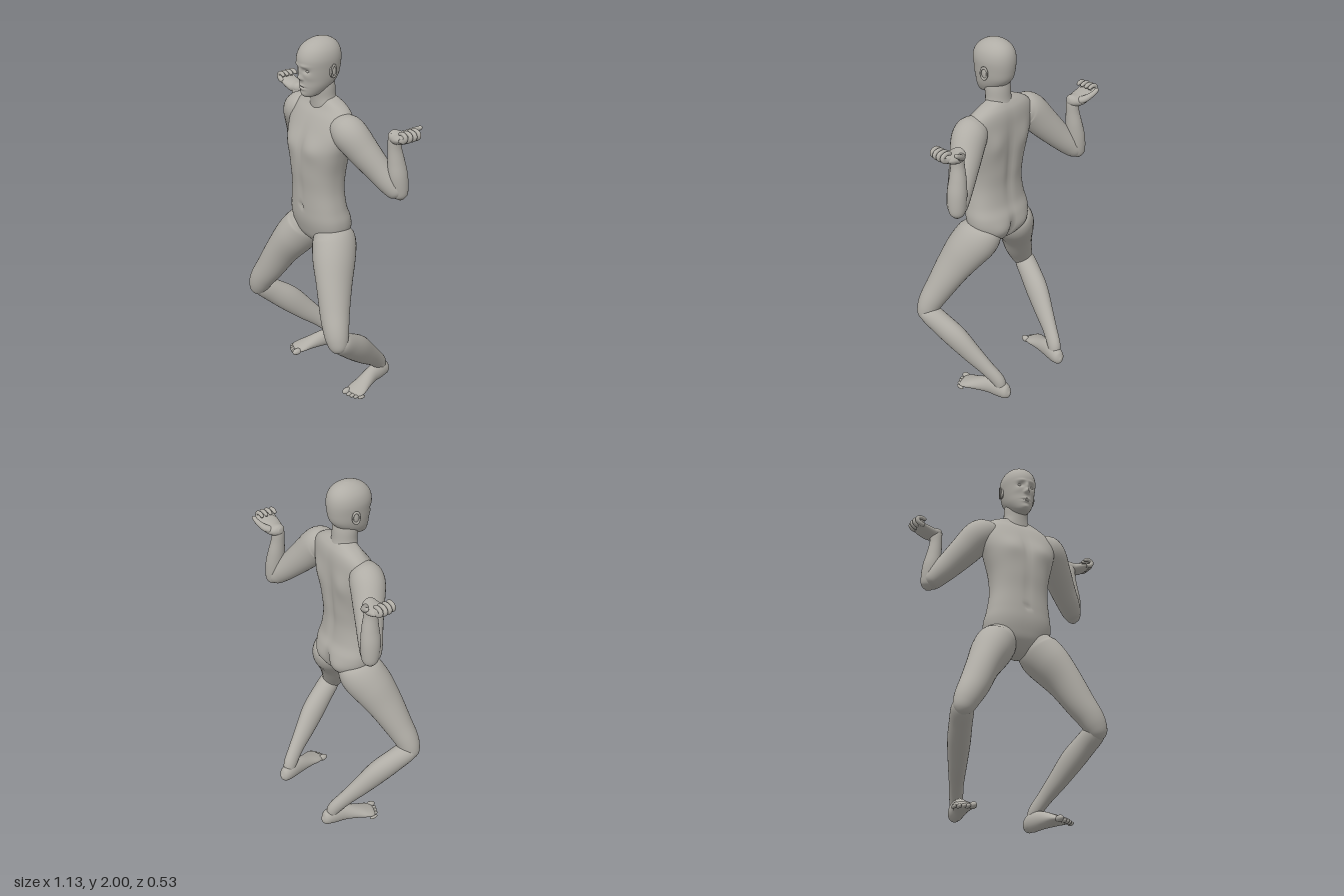
import * as THREE from 'three';

const skin = new THREE.MeshStandardMaterial({ color: 0xb0ada6 });
skin.name = 'warm grey skin';
const X = new THREE.Vector3(1, 0, 0), Y = new THREE.Vector3(0, 1, 0), Z = new THREE.Vector3(0, 0, 1);

// Catmull-Rom through rows of numbers, t in 0..1
function sample(rows, t) {
  const f = t * (rows.length - 1), i = Math.min(Math.floor(f), rows.length - 2), u = f - i;
  const at = k => rows[Math.max(0, Math.min(rows.length - 1, k))];
  const [a, b, c, d] = [at(i - 1), at(i), at(i + 1), at(i + 2)];
  return b.map((_, k) => 0.5 * (2 * b[k] + (c[k] - a[k]) * u + (2 * a[k] - 5 * b[k] + 4 * c[k] - d[k]) * u * u
    + (3 * b[k] - a[k] - 3 * c[k] + d[k]) * u * u * u));
}

// Smooth skin over rings [x, y, z, halfA, halfB]; halfA lies along ref x direction.
// flat keeps rings horizontal; bumps [x, y, spreadX, spreadY, height, face] sculpt front (+1) or back (-1).
function loft(rings, { ref = Z, segs = 28, steps = 6, power = 2, flat = false, bumps = [] } = {}) {
  const rows = (rings.length - 1) * steps, pos = [], index = [];
  const centre = t => new THREE.Vector3(...sample(rings, t).slice(0, 3));
  const round = v => Math.sign(v) * Math.abs(v) ** (2 / power);
  for (let i = 0; i <= rows; i++) {
    const t = i / rows, r = sample(rings, t), c = centre(t);
    const dir = flat ? Y.clone() : centre(Math.min(1, t + 0.01)).sub(centre(Math.max(0, t - 0.01))).normalize();
    const side = ref.clone().cross(dir).normalize(), up = dir.clone().cross(side);
    for (let j = 0; j < segs; j++) {
      const q = j / segs * Math.PI * 2, s = Math.sin(q);
      const p = c.clone().addScaledVector(side, Math.max(r[3], 0.001) * round(Math.cos(q)))
        .addScaledVector(up, Math.max(r[4], 0.001) * round(s));
      let dz = 0;
      for (const [bx, by, sx, sy, h, face] of bumps) {
        const w = Math.min(1, Math.max(0, s * face) * 2);
        dz += face * h * w * Math.exp(-(((Math.abs(p.x) - bx) / sx) ** 2) - ((p.y - by) / sy) ** 2);
      }
      pos.push(p.x, p.y, p.z + dz);
    }
  }
  for (let i = 0; i < rows; i++) for (let j = 0; j < segs; j++) {
    const a = i * segs + j, b = i * segs + (j + 1) % segs;
    index.push(a, b, a + segs, b, b + segs, a + segs);
  }
  // Rounded-off ends
  const last = rows * segs, n = pos.length / 3;
  pos.push(...rings[0].slice(0, 3), ...rings.at(-1).slice(0, 3));
  for (let j = 0; j < segs; j++) {
    const k = (j + 1) % segs;
    index.push(n, k, j, n + 1, last + j, last + k);
  }
  const g = new THREE.BufferGeometry();
  g.setAttribute('position', new THREE.Float32BufferAttribute(pos, 3));
  g.setIndex(index);
  g.computeVertexNormals();
  return g;
}

function ball(x, y, z, rx, ry, rz) {
  return new THREE.SphereGeometry(1, 24, 16).scale(rx, ry, rz).translate(x, y, z);
}

function mirrored(geometry) {
  const g = geometry.clone().scale(-1, 1, 1);
  const ix = g.index.array;
  for (let i = 0; i < ix.length; i += 3) [ix[i], ix[i + 1]] = [ix[i + 1], ix[i]];
  g.computeVertexNormals();
  return g;
}

export function createModel() {
  const model = new THREE.Group();
  model.name = 'crouchingFigure';
  const add = (name, geometry) => {
    const m = new THREE.Mesh(geometry, skin);
    m.name = name;
    model.add(m);
  };
  const pair = (name, geometry) => {
    add(name + 'Left', geometry);
    add(name + 'Right', mirrored(geometry));
  };

  // Torso from crotch to collar, with chest, spine, shoulder blades and buttocks
  add('torso', loft([
    [0, 0.855, 0.03, 0.02, 0.03], [0, 0.875, 0.03, 0.07, 0.065], [0, 0.92, 0.035, 0.145, 0.1],
    [0, 0.97, 0.036, 0.18, 0.118], [0, 1.03, 0.043, 0.187, 0.124], [0, 1.1, 0.055, 0.175, 0.115],
    [0, 1.2, 0.06, 0.162, 0.112], [0, 1.3, 0.06, 0.168, 0.12], [0, 1.4, 0.057, 0.192, 0.124],
    [0, 1.47, 0.05, 0.212, 0.118], [0, 1.54, 0.036, 0.225, 0.104], [0, 1.6, 0.022, 0.21, 0.088],
    [0, 1.64, 0.012, 0.175, 0.07], [0, 1.668, 0.012, 0.125, 0.055], [0, 1.69, 0.015, 0.06, 0.04],
  ], {
    segs: 72, power: 2.3, flat: true, bumps: [
      [0.09, 1.44, 0.06, 0.055, 0.012, 1], [0, 1.45, 0.02, 0.09, -0.008, 1], [0, 1.22, 0.02, 0.1, -0.005, 1],
      [0, 1.1, 0.012, 0.014, -0.012, 1], [0, 1.33, 0.025, 0.2, -0.014, -1], [0.1, 1.47, 0.05, 0.07, 0.014, -1],
      [0.085, 0.95, 0.06, 0.06, 0.016, -1], [0, 0.94, 0.018, 0.07, -0.025, -1],
    ],
  }));

  add('neck', loft([
    [0, 1.59, 0.015, 0.1, 0.07], [0, 1.65, 0.022, 0.082, 0.066], [0, 1.69, 0.028, 0.068, 0.064],
    [0, 1.75, 0.034, 0.066, 0.066], [0, 1.82, 0.04, 0.055, 0.06],
  ], { segs: 40, flat: true }));

  // Head, with the face sculpted into its front
  add('head', loft([
    [0, 1.7, 0.12, 0.012, 0.014], [0, 1.706, 0.11, 0.032, 0.036], [0, 1.725, 0.09, 0.051, 0.065],
    [0, 1.76, 0.07, 0.07, 0.09], [0, 1.8, 0.055, 0.081, 0.107], [0, 1.85, 0.053, 0.088, 0.117],
    [0, 1.9, 0.053, 0.092, 0.12], [0, 1.94, 0.05, 0.084, 0.109], [0, 1.97, 0.046, 0.065, 0.085],
    [0, 1.99, 0.043, 0.038, 0.05], [0, 1.999, 0.042, 0.01, 0.012],
  ], {
    segs: 112, steps: 11, power: 2.1, flat: true, bumps: [
      [0, 1.81, 0.012, 0.014, 0.02, 1], [0, 1.842, 0.009, 0.02, 0.01, 1], [0.013, 1.803, 0.006, 0.007, 0.006, 1],
      [0.034, 1.848, 0.017, 0.012, -0.013, 1], [0.03, 1.873, 0.025, 0.008, 0.005, 1],
      [0.05, 1.815, 0.02, 0.02, 0.004, 1], [0, 1.766, 0.02, 0.006, 0.006, 1], [0, 1.748, 0.018, 0.006, 0.007, 1],
      [0, 1.757, 0.024, 0.003, -0.006, 1], [0, 1.718, 0.022, 0.012, 0.005, 1],
    ],
  }));
  pair('eye', ball(0.034, 1.847, 0.142, 0.014, 0.01, 0.012));
  pair('ear', ball(0.09, 1.838, 0.033, 0.01, 0.032, 0.02));
  pair('earRim', new THREE.TorusGeometry(0.02, 0.005, 10, 28).scale(0.9, 1.5, 1)
    .rotateY(Math.PI / 2 + 0.35).translate(0.098, 1.842, 0.031));

  // Arms: upper arm out and down, forearm straight up
  pair('upperArm', loft([
    [0.13, 1.57, 0.03, 0.05, 0.06], [0.175, 1.56, 0.026, 0.082, 0.082], [0.22, 1.535, 0.015, 0.092, 0.09],
    [0.28, 1.46, -0.02, 0.084, 0.08], [0.345, 1.38, -0.06, 0.072, 0.068], [0.405, 1.31, -0.095, 0.06, 0.06],
    [0.44, 1.268, -0.118, 0.046, 0.048], [0.457, 1.245, -0.126, 0.018, 0.018],
  ]));
  pair('forearm', loft([
    [0.452, 1.23, -0.13, 0.012, 0.012], [0.448, 1.25, -0.128, 0.036, 0.036], [0.442, 1.29, -0.124, 0.046, 0.047],
    [0.435, 1.36, -0.118, 0.048, 0.052], [0.425, 1.43, -0.114, 0.042, 0.046], [0.418, 1.5, -0.108, 0.034, 0.037],
    [0.418, 1.555, -0.106, 0.032, 0.034], [0.425, 1.585, -0.108, 0.024, 0.028],
  ]));

  // Hands: palm up, fingers curled over
  pair('palm', loft([
    [0.385, 1.575, -0.106, 0.012, 0.012], [0.4, 1.572, -0.108, 0.034, 0.027], [0.44, 1.565, -0.115, 0.05, 0.031],
    [0.485, 1.574, -0.113, 0.054, 0.025], [0.52, 1.585, -0.108, 0.048, 0.016], [0.53, 1.588, -0.108, 0.035, 0.008],
  ], { ref: Y }));
  for (let i = 0; i < 4; i++) {
    const z = -0.147 + i * 0.026, k = [0.95, 1, 0.97, 0.82][i], x = 0.505;
    pair('finger' + (i + 1), loft([
      [x, 1.582, z, 0.011, 0.01], [x + 0.03 * k, 1.588, z, 0.0135, 0.0125], [x + 0.047 * k, 1.602, z, 0.0125, 0.012],
      [x + 0.043 * k, 1.618, z, 0.0115, 0.011], [x + 0.018 * k, 1.624, z, 0.011, 0.0105],
      [x - 0.004, 1.617, z, 0.009, 0.009], [x - 0.01, 1.613, z, 0.003, 0.003],
    ], { ref: Z, segs: 14 }));
  }
  pair('thumb', loft([
    [0.425, 1.57, -0.135, 0.02, 0.018], [0.445, 1.58, -0.162, 0.021, 0.018], [0.468, 1.598, -0.182, 0.015, 0.015],
    [0.49, 1.612, -0.191, 0.0125, 0.0125], [0.508, 1.624, -0.194, 0.01, 0.01], [0.515, 1.629, -0.194, 0.003, 0.003],
  ], { ref: Y, segs: 16 }));

  // Legs: knees bent forward and outward, shins swept back
  pair('thigh', loft([
    [0.075, 1.0, 0.035, 0.06, 0.05], [0.1, 0.95, 0.04, 0.105, 0.09], [0.13, 0.9, 0.05, 0.122, 0.108],
    [0.18, 0.825, 0.088, 0.118, 0.105], [0.24, 0.725, 0.13, 0.1, 0.088], [0.302, 0.605, 0.172, 0.08, 0.079],
    [0.348, 0.525, 0.197, 0.068, 0.07], [0.373, 0.47, 0.205, 0.057, 0.06], [0.384, 0.43, 0.203, 0.042, 0.044],
    [0.388, 0.408, 0.198, 0.012, 0.012],
  ], { ref: X, segs: 36 }));
  pair('shin', loft([
    [0.385, 0.495, 0.215, 0.025, 0.03], [0.377, 0.458, 0.192, 0.055, 0.056], [0.352, 0.402, 0.118, 0.067, 0.058],
    [0.322, 0.338, 0.036, 0.073, 0.057], [0.288, 0.255, -0.05, 0.062, 0.047], [0.255, 0.18, -0.13, 0.048, 0.037],
    [0.227, 0.115, -0.19, 0.042, 0.034], [0.22, 0.07, -0.205, 0.03, 0.03],
  ], { ref: X }));
  pair('foot', loft([
    [0.21, 0.045, -0.265, 0.008, 0.012], [0.213, 0.047, -0.245, 0.031, 0.038], [0.22, 0.058, -0.2, 0.039, 0.053],
    [0.235, 0.053, -0.13, 0.038, 0.048], [0.256, 0.039, -0.06, 0.046, 0.034], [0.27, 0.028, -0.01, 0.055, 0.023],
    [0.28, 0.02, 0.025, 0.05, 0.015], [0.283, 0.018, 0.035, 0.03, 0.007],
  ], { ref: Y }));
  for (let i = 0; i < 5; i++) {
    const r = i ? 0.0125 - i * 0.0007 : 0.018;
    pair('toe' + (i + 1), ball(0.242 + i * 0.02 + (i ? 0.006 : 0), r + 0.002, 0.042 - i * i * 0.0022,
      r, r, i ? 0.024 : 0.03));
  }
  return model;
}
